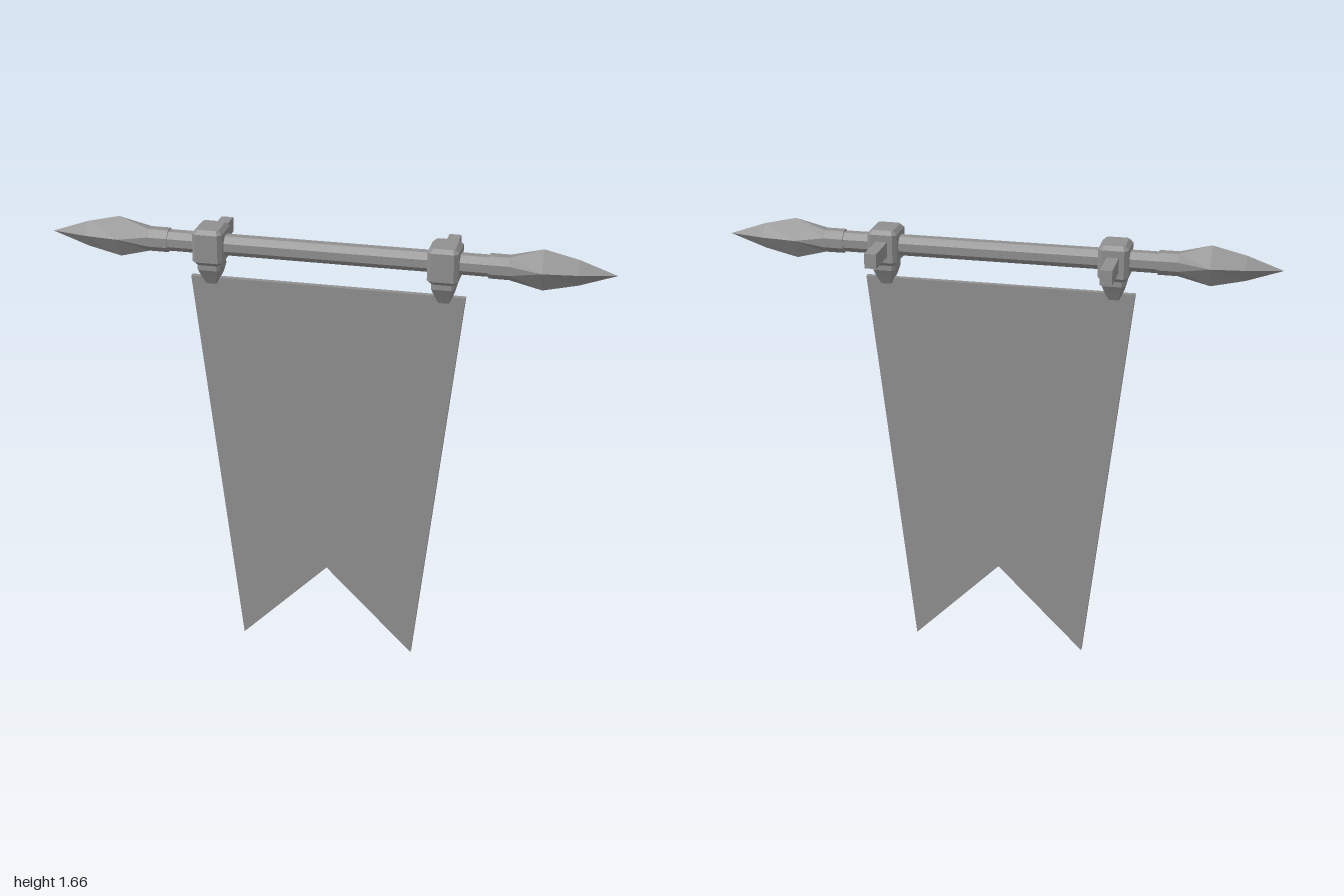
import * as THREE from 'three';

const material = new THREE.MeshStandardMaterial({ color: 0x909090, flatShading: true });
const ROD_Y = 1.585, ROD_Z = 0.071;

// Cross-sections are eight [u, v] points, counter-clockwise around the loft axis
const octagon = (r) => Array.from({ length: 8 }, (_, k) => {
  const a = Math.PI / 8 + k * Math.PI / 4, R = r / Math.cos(Math.PI / 8);
  return [R * Math.cos(a), R * Math.sin(a)];
});
// Diamond made by merging the octagon corners in pairs
const diamond = (ru, rv) => Array.from({ length: 8 }, (_, k) =>
  [[ru, 0], [0, rv], [-ru, 0], [0, -rv]][Math.floor((k + 1) / 2) % 4]);
const chamferedRect = (u, v, c) => [
  [u, v - c], [u - c, v], [c - u, v], [-u, v - c],
  [-u, c - v], [c - u, -v], [u - c, -v], [u, c - v]];

// Joins [position, section] stations along the x or y axis and closes both ends
function loft(axis, stations) {
  const rings = stations.map(([w, section]) => section.map(([u, v]) =>
    axis === 'x' ? new THREE.Vector3(w, u, v) : new THREE.Vector3(v, w, u)));
  const positions = [];
  const tri = (a, b, c) => {
    if (new THREE.Triangle(a, b, c).getArea() < 1e-9) return;
    for (const p of [a, b, c]) positions.push(p.x, p.y, p.z);
  };
  for (let i = 0; i < rings.length - 1; i++) {
    const A = rings[i], B = rings[i + 1];
    for (let k = 0; k < 8; k++) {
      const n = (k + 1) % 8;
      tri(A[k], A[n], B[n]);
      tri(A[k], B[n], B[k]);
    }
  }
  const first = rings[0], last = rings[rings.length - 1];
  for (let k = 1; k < 7; k++) {
    tri(first[0], first[k + 1], first[k]);
    tri(last[0], last[k], last[k + 1]);
  }
  const g = new THREE.BufferGeometry();
  g.setAttribute('position', new THREE.Float32BufferAttribute(positions, 3));
  g.computeVertexNormals();
  return g;
}

function add(parent, name, geometry, x = 0, y = 0, z = 0) {
  const mesh = new THREE.Mesh(geometry, material);
  mesh.name = name;
  mesh.position.set(x, y, z);
  parent.add(mesh);
  return mesh;
}

export function createModel() {
  const model = new THREE.Group();
  model.name = 'hangingBanner';

  // Octagonal crossbar
  add(model, 'crossbar', loft('x', [[-0.6, octagon(0.035)], [0.6, octagon(0.035)]]), 0, ROD_Y, ROD_Z);

  // Spear-shaped finials: octagonal socket flowing into a diamond blade
  const finial = loft('x', [
    [0.567, octagon(0.04)],
    [0.637, octagon(0.04)],
    [0.75, diamond(0.074, 0.042)],
    [0.87, diamond(0.046, 0.029)],
    [1, diamond(0, 0)],
  ]);
  add(model, 'leftFinial', finial, 0, ROD_Y, ROD_Z);
  add(model, 'rightFinial', finial, 0, ROD_Y, ROD_Z).rotation.y = Math.PI;

  // Clamps with a wall arm behind and a tapered hanger below
  const c = 0.014;
  const block = loft('y', [
    [-0.065, chamferedRect(0.066 - c, 0.054 - c, c / 2)],
    [-0.065 + c, chamferedRect(0.066, 0.054, c)],
    [0.065 - c, chamferedRect(0.066, 0.054, c)],
    [0.065, chamferedRect(0.066 - c, 0.054 - c, c / 2)],
  ]);
  const hanger = loft('y', [
    [-0.145, chamferedRect(0.016, 0.019, 0.004)],
    [-0.115, chamferedRect(0.032, 0.033, 0.007)],
    [-0.085, chamferedRect(0.049, 0.041, 0.01)],
    [-0.06, chamferedRect(0.049, 0.041, 0.01)],
  ]);
  const arm = new THREE.BoxGeometry(0.043, 0.053, 0.16);
  for (const side of [-1, 1]) {
    const clamp = new THREE.Group();
    clamp.name = side > 0 ? 'leftClamp' : 'rightClamp';
    clamp.position.set(side * 0.415, ROD_Y, ROD_Z);
    add(clamp, 'clampBlock', block);
    add(clamp, 'hanger', hanger);
    add(clamp, 'wallArm', arm, 0, 0, -0.137 + 0.08 - ROD_Z);
    model.add(clamp);
  }

  // Tapered swallowtail cloth
  const outline = new THREE.Shape([
    [-0.49, 1.462], [-0.327, 0], [0, 0.33], [0.327, 0], [0.49, 1.462],
  ].map(([x, y]) => new THREE.Vector2(x, y)));
  const cloth = new THREE.ExtrudeGeometry(outline, { depth: 0.02, bevelEnabled: false });
  add(model, 'cloth', cloth, 0, 0, ROD_Z - 0.01);

  return model;
}
